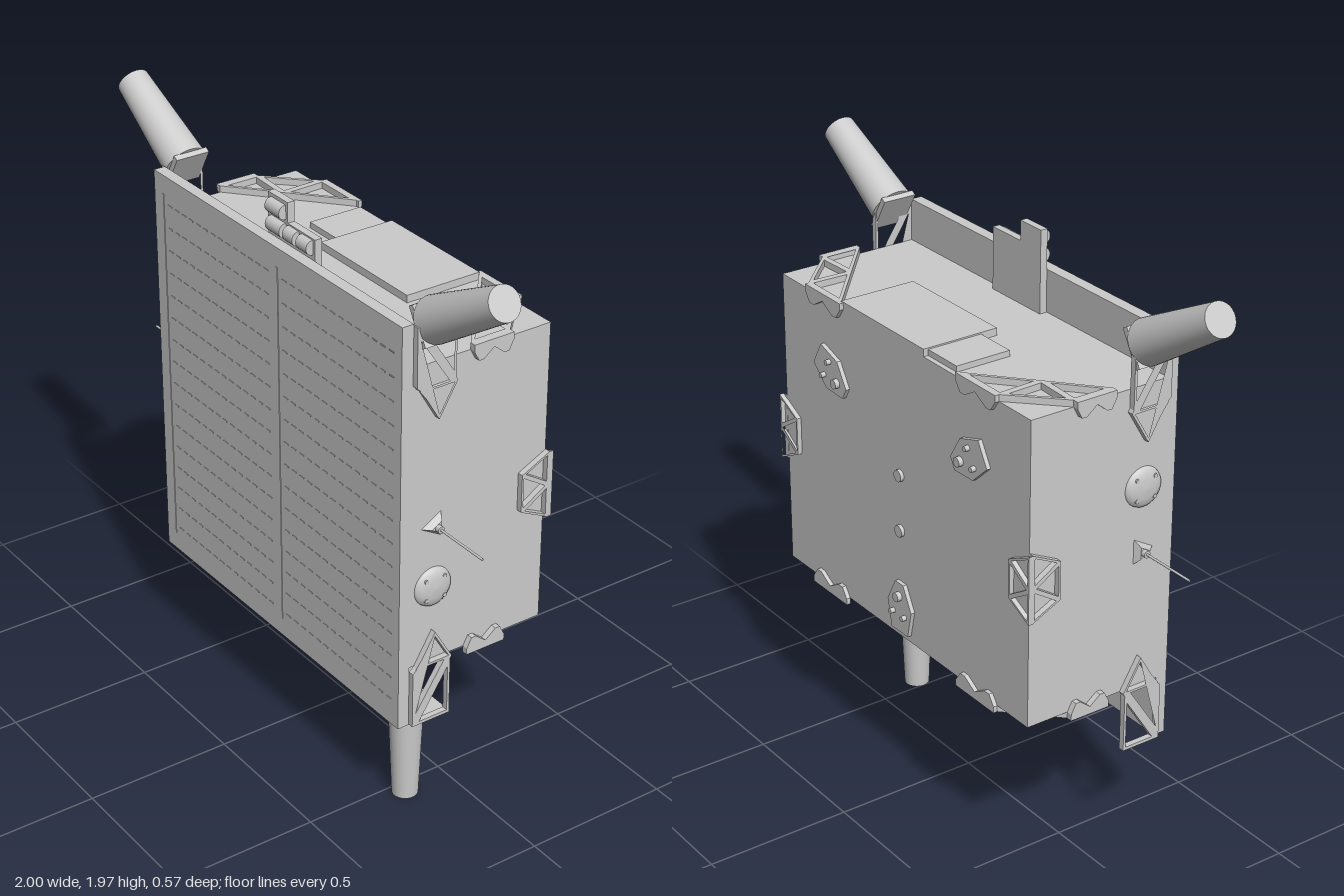
import * as THREE from 'three';
import { mergeGeometries } from 'three/addons/utils/BufferGeometryUtils.js';

const material = new THREE.MeshStandardMaterial({ color: 0xcccccc });
const V = (x, y, z) => new THREE.Vector3(x, y, z);
const HALF = 0.665, BACK = -0.257, TOP = 1.612, BOTTOM = 0.58, MID = 1.06;
const PANEL_Z = 0.245, FRONT = 0.287;

// Plane bases: two drawing axes, then the direction of extrusion
const SIDE = new THREE.Matrix4().makeBasis(V(0, 0, 1), V(0, 1, 0), V(-1, 0, 0));
const FLAT = new THREE.Matrix4().makeBasis(V(1, 0, 0), V(0, 0, 1), V(0, -1, 0));
const UPRIGHT = new THREE.Matrix4();

// Triangle shrunk about its incentre, leaving bars of the given width
function insetTriangle(pts, bar) {
  const [a, b, c] = pts.map(p => new THREE.Vector2(...p));
  const la = b.distanceTo(c), lb = a.distanceTo(c), lc = a.distanceTo(b), sum = la + lb + lc;
  const centre = new THREE.Vector2()
    .addScaledVector(a, la / sum).addScaledVector(b, lb / sum).addScaledVector(c, lc / sum);
  const radius = Math.abs(b.clone().sub(a).cross(c.clone().sub(a))) / sum;
  return [a, b, c].map(p => p.sub(centre).multiplyScalar((radius - bar) / radius).add(centre));
}

export function createModel() {
  const root = new THREE.Group();
  root.name = 'boxSatellite';

  const add = (name, geometry, x = 0, y = 0, z = 0) => {
    const mesh = new THREE.Mesh(geometry, material);
    mesh.name = name;
    mesh.position.set(x, y, z);
    root.add(mesh);
    return mesh;
  };
  // Box given by its limits
  const box = (name, x0, x1, y0, y1, z0, z1) =>
    add(name, new THREE.BoxGeometry(x1 - x0, y1 - y0, z1 - z0), (x0 + x1) / 2, (y0 + y1) / 2, (z0 + z1) / 2);
  // Flat plate with triangular cut-outs
  const plate = (name, basis, outline, triangles, depth, x, y, z, bar = 0.011) => {
    const shape = new THREE.Shape(outline.map(p => new THREE.Vector2(...p)));
    triangles.forEach(t => shape.holes.push(new THREE.Path(insetTriangle(t, bar))));
    const geometry = new THREE.ExtrudeGeometry(shape, { depth, bevelEnabled: false });
    return add(name, geometry.applyMatrix4(basis), x, y, z);
  };
  // Tapered round horn between two points
  const horn = (name, from, to, r0, r1) => {
    const dir = to.clone().sub(from);
    const mid = from.clone().add(to).multiplyScalar(0.5);
    const mesh = add(name, new THREE.CylinderGeometry(r1, r0, dir.length(), 40), mid.x, mid.y, mid.z);
    mesh.quaternion.setFromUnitVectors(V(0, 1, 0), dir.normalize());
    return mesh;
  };

  // Main body and the taller front panel
  box('body', -HALF, HALF, BOTTOM, TOP, BACK, PANEL_Z);
  box('frontPanel', -HALF, HALF, 0.367, 1.755, PANEL_Z, FRONT - 0.002);

  // Fine strips and dashed rows on the panel
  const marks = [];
  const mark = (x, y, w, h) => marks.push(new THREE.BoxGeometry(w, h, 0.002).translate(x, y, FRONT - 0.001));
  for (const x of [-0.615, 0.03]) mark(x, MID, 0.01, 1.26);
  for (let row = 0; row < 16; row++)
    for (const start of [-0.575, 0.07])
      for (let i = 0; i < 14; i++) mark(start + i * 0.042, 0.46 + row * 0.08, 0.022, 0.004);
  add('panelMarks', mergeGeometries(marks));

  // Low equipment boxes on the top
  box('topUnit', -0.128, 0.322, TOP, 1.637, BACK, 0.015);
  box('topSmallUnit', -0.275, -0.128, TOP, 1.632, -0.24, -0.045);

  // Stepped sensor plate with four rounded sensors
  plate('sensorPlate', UPRIGHT, [[-0.075, 1.605], [0.173, 1.605], [0.173, 1.823], [0.03, 1.823],
    [0.03, 1.89], [-0.075, 1.89]], [], 0.025, 0, 0, 0.218);
  for (const [x, y, w] of [[-0.018, 1.855, 0.076], [-0.018, 1.795, 0.076], [0.062, 1.795, 0.053], [0.134, 1.795, 0.056]]) {
    const sensor = add('sensor', new THREE.CylinderGeometry(0.024, 0.024, w, 20).rotateZ(Math.PI / 2), x, y, 0.247);
    sensor.scale.z = 0.9;
  }

  // Upper horns with mounting plates, lower horn with its post
  for (const s of [-1, 1]) {
    horn('upperHorn', V(s * 0.663, 1.746, 0.168), V(s * 0.972, 1.925, 0.168), 0.073, 0.054);
    const mount = add('hornMount', new THREE.BoxGeometry(0.02, 0.13, 0.12), s * 0.658, 1.737, 0.168);
    mount.rotation.z = s * Math.PI / 6;
  }
  horn('lowerHorn', V(0.54, 0.37, 0.162), V(0.54, 0, 0.162), 0.058, 0.043);
  box('lowerHornPost', 0.505, 0.575, 0.37, BOTTOM, 0.127, 0.197);
  box('lowerHornShelf', 0.475, HALF, 0.367, 0.378, 0.104, PANEL_Z);

  for (const s of [-1, 1]) {
    const outerX = s > 0 ? HALF + 0.02 : -HALF;

    // Pointed corner brackets tying the panel to the body
    for (const v of [-1, 1]) {
      const m = pts => pts.map(([z, y]) => [z, MID + v * (MID - y)]);
      plate('cornerBracket', SIDE,
        m([[0.104, 0.37], [PANEL_Z, 0.37], [PANEL_Z, 0.565], [0.228, BOTTOM], [0.163, 0.69], [0.098, BOTTOM], [0.104, 0.57]]),
        [m([[0.232, 0.575], [0.163, 0.692], [0.094, 0.575]]),
          m([[PANEL_Z, 0.38], [PANEL_Z, 0.585], [0.11, 0.585]]),
          m([[0.104, 0.372], [0.236, 0.372], [0.104, 0.575]])],
        0.02, outerX, 0, 0, 0.009);
    }

    // Mid-height trusses wrapping around the rear edges
    const wrap = o => [[[0, -0.115], [0.103, -0.065], [0.103, 0.065], [0, 0.115]],
      [[[0, -0.115], [0.103, -0.065], [0, 0]], [[0.103, -0.065], [0.103, 0.065], [0, 0]],
        [[0, 0.115], [0.103, 0.065], [0, 0]]]].map((set, i) => i === 0
      ? set.map(o) : set.map(t => t.map(o)));
    const [sideOutline, sideHoles] = wrap(([u, y]) => [-0.258 + u, 1.066 + y]);
    plate('edgeTrussSide', SIDE, sideOutline, sideHoles, 0.02, outerX, 0, 0, 0.007);
    const [backOutline, backHoles] = wrap(([u, y]) => [s * (HALF + 0.02 - u), 1.066 + y]);
    plate('edgeTrussBack', UPRIGHT, backOutline, backHoles, 0.016, 0, 0, BACK - 0.016, 0.007);

    // Diagonal trusses over the rear corners, with clips on side and back
    for (const v of [1, -1]) {
      const face = v > 0 ? TOP : BOTTOM;
      const m = pts => pts.map(([x, z]) => [s * x, z]);
      const A = [0.32, BACK], B = [HALF, 0.04], C = [HALF, -0.105], D = [0.51, BACK], M = [0.505, -0.098];
      plate('cornerTruss', FLAT, m([A, B, C, D]), [m([A, D, M]), m([M, B, C]), m([D, C, M])],
        0.022, 0, v > 0 ? face + 0.022 : face, 0);
      const clip = (a, b) => {
        const mid = (a + b) / 2, e = (b - a) * 0.12, low = face - v * 0.034;
        return [[a, face + v * 0.022], [b, face + v * 0.022], [b, face], [b - e, low], [b - 2 * e, low],
          [mid, face - v * 0.004], [a + 2 * e, low], [a + e, low], [a, face]];
      };
      plate('sideClip', SIDE, clip(-0.105, 0.04), [], 0.02, outerX, 0, 0);
      plate('backClip', UPRIGHT, m(clip(0.31, 0.51)), [], 0.014, 0, 0, BACK - 0.014);
    }

    // Domed cover with four bolts
    const domeY = s > 0 ? 0.846 : 1.275;
    const profile = [[0.067, 0], [0.064, 0.008], [0.052, 0.016], [0.032, 0.021], [0, 0.023]];
    const dome = new THREE.LatheGeometry(profile.map(p => new THREE.Vector2(...p)), 32).rotateZ(-s * Math.PI / 2);
    add('domeCover', dome, s * HALF, domeY, 0.163);
    for (let i = 0; i < 4; i++) {
      const a = Math.PI / 4 + i * Math.PI / 2;
      add('domeBolt', new THREE.CylinderGeometry(0.007, 0.007, 0.02, 12).rotateZ(Math.PI / 2),
        s * (HALF + 0.01), domeY + Math.sin(a) * 0.048, 0.163 + Math.cos(a) * 0.048);
    }

    // Whip antenna on a three-sided foot
    const foot = new THREE.CylinderGeometry(0.024, 0.048, 0.022, 3).rotateZ(-s * Math.PI / 2);
    const footMesh = add('antennaFoot', foot.toNonIndexed(), s * (HALF + 0.011), MID, 0.16);
    footMesh.geometry.computeVertexNormals();
    const along = r => new THREE.CylinderGeometry(r, r, 1, 12).rotateZ(Math.PI / 2);
    add('antennaSocket', along(0.012), s * (HALF + 0.022), MID, 0.16).scale.x = 0.03;
    add('antennaRod', along(0.004), s * (HALF + 0.1175), MID, 0.16).scale.x = 0.235;
  }

  // Three five-sided mounts on the back, pointing towards the centre
  for (const [x, y, turn] of [[0.375, 1.375, 1], [-0.375, 1.375, -1], [0, 0.69, 0]]) {
    const mount = new THREE.Group();
    mount.name = 'backMount';
    const shape = new THREE.Shape([[-0.045, -0.085], [0.045, -0.085], [0.066, 0.01], [0.022, 0.092], [-0.022, 0.092], [-0.066, 0.01]]
      .map(p => new THREE.Vector2(...p)));
    const base = new THREE.Mesh(new THREE.ExtrudeGeometry(shape, { depth: 0.014, bevelEnabled: false }), material);
    base.name = 'mountPlate';
    base.position.z = -0.014;
    mount.add(base);
    for (const [px, py, r] of [[0, 0.045, 0.016], [-0.032, -0.02, 0.009], [0.032, -0.02, 0.009]]) {
      const lug = new THREE.Mesh(new THREE.CylinderGeometry(r, r, 0.03, 16).rotateX(Math.PI / 2), material);
      lug.name = 'mountLug';
      lug.position.set(px, py, -0.015);
      mount.add(lug);
    }
    mount.position.set(x, y, BACK);
    mount.rotation.z = turn * Math.PI * 2 / 3;
    root.add(mount);
  }

  // Small round ports on the back
  for (const y of [1.16, 0.965])
    add('backPort', new THREE.CylinderGeometry(0.02, 0.02, 0.012, 20).rotateX(Math.PI / 2), 0.005, y, BACK - 0.006);

  return root;
}
